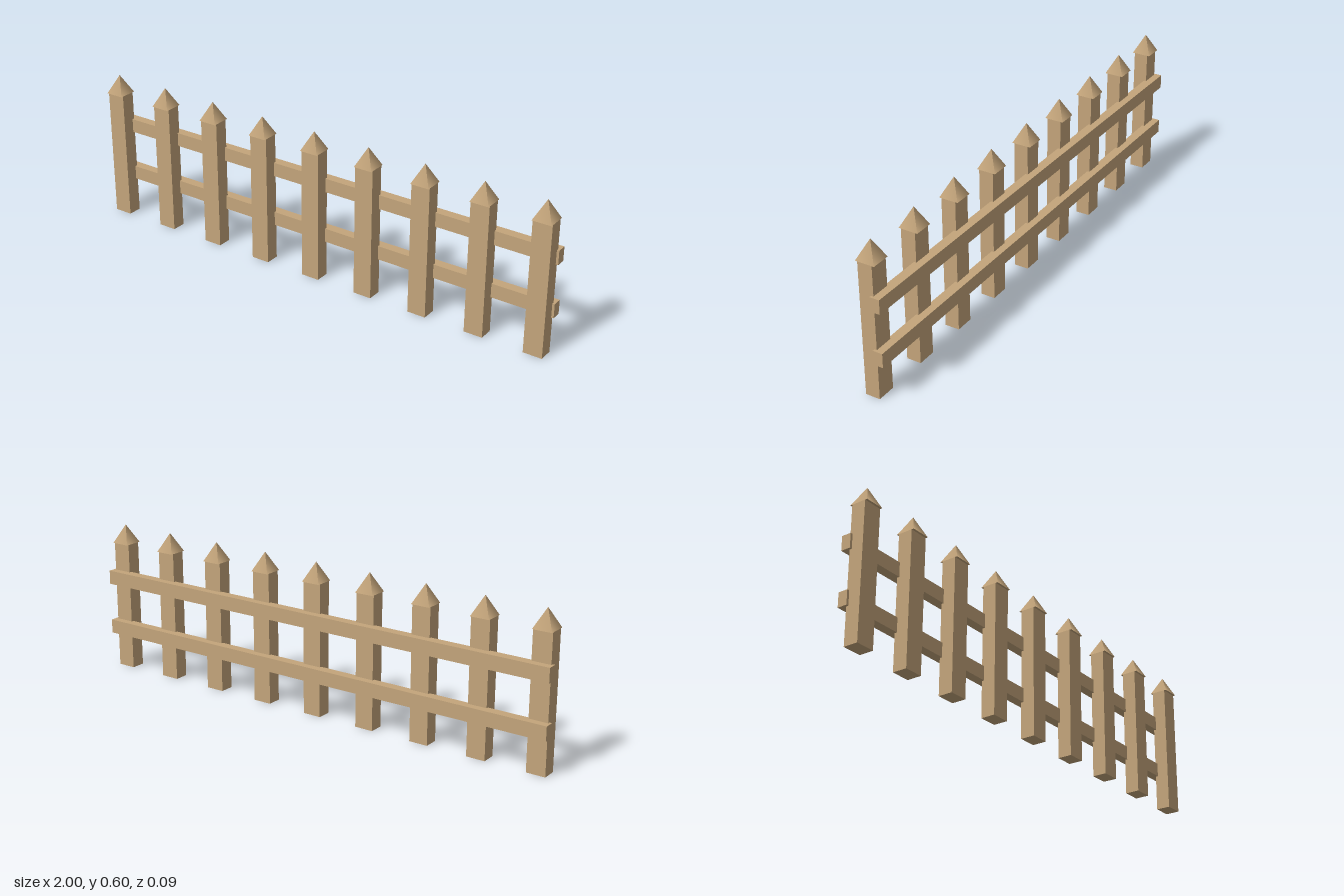
import * as THREE from 'three';

export function createModel() {
  const fence = new THREE.Group();
  fence.name = 'picketFence';
  const wood = new THREE.MeshStandardMaterial({ color: 0xc4a57b });
  wood.name = 'tan wood';

  const add = (parent, name, geometry, x, y, z) => {
    const mesh = new THREE.Mesh(geometry, wood);
    mesh.name = name;
    mesh.position.set(x, y, z);
    parent.add(mesh);
  };

  // Pickets: rectangular posts with four-sided, smooth-shaded points
  const count = 9, spacing = 0.2383;
  const postHeight = 0.525, tipHeight = 0.075, tipWidth = 0.075;
  const postGeometry = new THREE.BoxGeometry(0.075, postHeight, 0.057);
  const tipGeometry = new THREE.ConeGeometry(tipWidth / Math.SQRT2, tipHeight, 4);
  tipGeometry.rotateY(Math.PI / 4);
  for (let i = 0; i < count; i++) {
    const picket = new THREE.Group();
    picket.name = `picket${i + 1}`;
    picket.position.set((i - (count - 1) / 2) * spacing, 0, 0.01);
    add(picket, 'post', postGeometry, 0, postHeight / 2, 0);
    add(picket, 'point', tipGeometry, 0, postHeight + tipHeight / 2, 0);
    fence.add(picket);
  }

  // Two rails along the back, slightly sunk into the posts
  const railGeometry = new THREE.BoxGeometry(2, 0.056, 0.038);
  add(fence, 'lowerRail', railGeometry, 0, 0.1725, -0.028);
  add(fence, 'upperRail', railGeometry, 0, 0.3825, -0.028);

  return fence;
}
